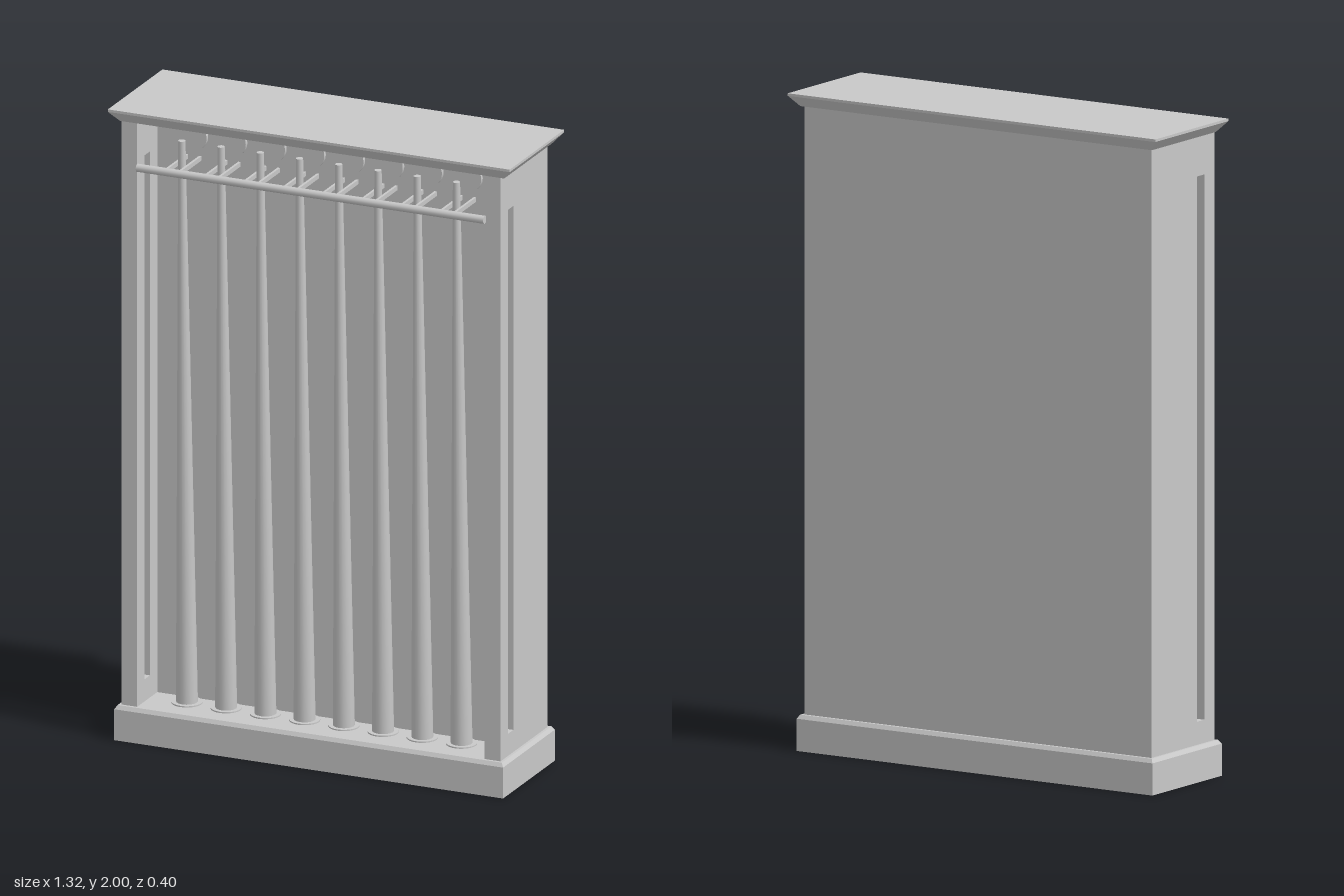
import * as THREE from 'three';

export function createModel() {
  const model = new THREE.Group();
  model.name = 'cueRack';
  const rack = new THREE.Group();
  rack.name = 'rackBody';
  rack.position.x = -0.006;
  model.add(rack);
  const grey = new THREE.MeshStandardMaterial({ color: 0xc8c8c8 });
  grey.name = 'plainGrey';

  const add = (name, geometry, x = 0, y = 0, z = 0, parent = rack) => {
    const mesh = new THREE.Mesh(geometry, grey);
    mesh.name = name;
    mesh.position.set(x, y, z);
    parent.add(mesh);
    return mesh;
  };
  // Box given by its limits
  const block = (name, x0, x1, y0, y1, z0, z1, parent) =>
    add(name, new THREE.BoxGeometry(x1 - x0, y1 - y0, z1 - z0),
      (x0 + x1) / 2, (y0 + y1) / 2, (z0 + z1) / 2, parent);
  // Box whose top and bottom rectangles differ
  const taperedBlock = (name, y0, y1, bottom, top, z, parent) => {
    const g = new THREE.BoxGeometry(2, y1 - y0, 2);
    const p = g.attributes.position;
    for (let i = 0; i < p.count; i++) {
      const [w, d] = p.getY(i) > 0 ? top : bottom;
      p.setX(i, p.getX(i) * w);
      p.setZ(i, p.getZ(i) * d);
    }
    const flat = g.toNonIndexed();
    flat.computeVertexNormals();
    return add(name, flat, 0, (y0 + y1) / 2, z, parent);
  };
  // Plan shape (x, -z) raised along y
  const raise = (shape, height) => {
    const g = new THREE.ExtrudeGeometry(shape, { depth: height, bevelEnabled: false });
    g.rotateX(-Math.PI / 2);
    return g;
  };
  const rectangle = (path, w, d) => {
    path.moveTo(-w, -d);
    path.lineTo(w, -d);
    path.lineTo(w, d);
    path.lineTo(-w, d);
    path.closePath();
    return path;
  };

  // Thin-walled plinth, open underneath
  const skirt = rectangle(new THREE.Shape(), 0.638, 0.188);
  skirt.holes.push(rectangle(new THREE.Path(), 0.628, 0.178));
  add('plinthSkirt', raise(skirt, 0.098), 0, 0, -0.003);
  taperedBlock('plinthTop', 0.098, 0.11, [0.638, 0.188], [0.63, 0.18], -0.003);

  // Back case: square-cornered U in plan
  const W = 0.622, inner = 0.57, back = 0.173, panel = 0.022, front = 0.075;
  const plan = new THREE.Shape([
    [-W, -front], [-inner, -front], [-inner, -panel], [inner, -panel],
    [inner, -front], [W, -front], [W, back], [-W, back],
  ].map(([x, y]) => new THREE.Vector2(x, y)));
  add('backCase', raise(plan, 1.85), 0, 0.11, 0);

  // Front posts, joined to the case above and below the side slots
  for (const s of [-1, 1]) {
    const a = Math.min(s * inner, s * W), b = Math.max(s * inner, s * W);
    block('frontPost', a, b, 0.11, 1.96, 0.115, 0.168);
    block('lowerPostBlock', a, b, 0.11, 0.18, front, 0.115);
    block('upperPostBlock', a, b, 1.84, 1.96, front, 0.115);
  }

  // Cornice
  taperedBlock('corniceFlare', 1.96, 1.992, [0.63, 0.173], [0.659, 0.197], 0, model);
  block('corniceTop', -0.659, 0.659, 1.992, 2, -0.198, 0.197, model);

  // Front rail
  const rail = add('frontRail', new THREE.CylinderGeometry(0.0125, 0.0125, 1.14, 12), 0.005, 1.822, 0.178);
  rail.rotation.z = Math.PI / 2;

  // Cues with floor collars, discs behind the tips and a pair of rail arms each
  const foot = new THREE.Vector3(0, 0.106, 0.07);
  const tip = new THREE.Vector3(0.004, 1.905, 0.116);
  const along = tip.clone().sub(foot);
  const cueShape = new THREE.CylinderGeometry(0.011, 0.033, along.length(), 16);
  const collarShape = new THREE.CylinderGeometry(0.047, 0.047, 0.006, 24);
  const ringShape = new THREE.TorusGeometry(0.043, 0.005, 6, 24);
  const discShape = new THREE.CylinderGeometry(0.046, 0.046, 0.012, 24);
  for (let i = 0; i < 8; i++) {
    const x = -0.451 + i * 0.1287;
    const cue = add('cue', cueShape, x + tip.x / 2, (foot.y + tip.y) / 2, (foot.z + tip.z) / 2);
    cue.quaternion.setFromUnitVectors(new THREE.Vector3(0, 1, 0), along.clone().normalize());
    add('floorCollar', collarShape, x, 0.111, foot.z);
    add('underRing', ringShape, x, 0.098, foot.z).rotation.x = Math.PI / 2;
    add('upperDisc', discShape, x + 0.002, 1.892, panel + 0.006).rotation.x = Math.PI / 2;
    for (const s of [-0.022, 0.022]) {
      block('railArm', x + s - 0.004, x + s + 0.004, 1.815, 1.829, panel, 0.175);
    }
  }
  return model;
}
